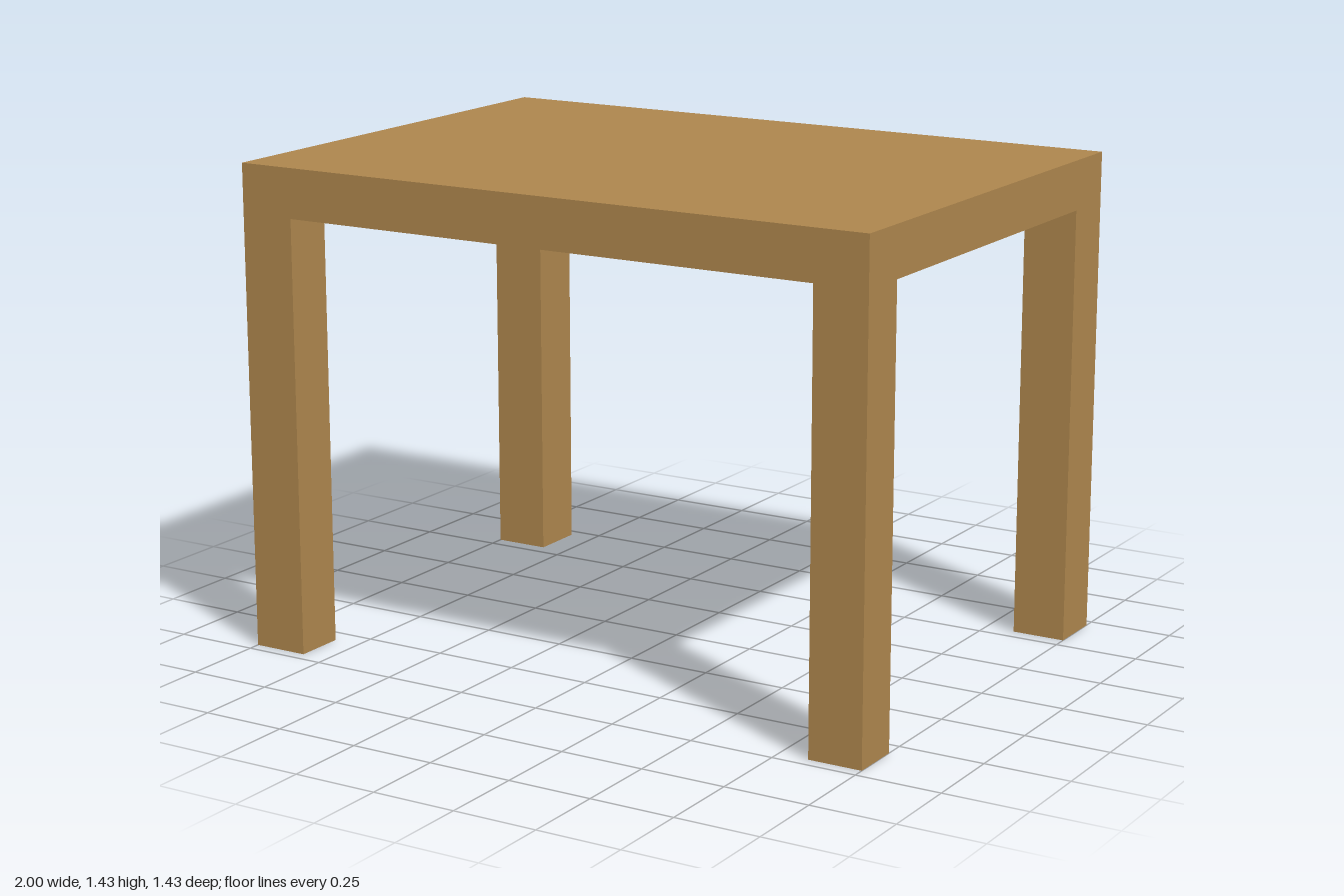
import * as THREE from 'three';

export function createModel() {
  const group = new THREE.Group();
  group.name = 'table';
  const wood = new THREE.MeshStandardMaterial({ color: 0xad854d });
  const halfX = 1, halfZ = 0.714, height = 1.43, underside = 1.285;

  // Box given by its lower and upper corners
  const addBox = (name, [x0, y0, z0], [x1, y1, z1]) => {
    const mesh = new THREE.Mesh(new THREE.BoxGeometry(x1 - x0, y1 - y0, z1 - z0), wood);
    mesh.position.set((x0 + x1) / 2, (y0 + y1) / 2, (z0 + z1) / 2);
    mesh.name = name;
    group.add(mesh);
  };

  // Thick slab top
  addBox('tableTop', [-halfX, underside, -halfZ], [halfX, height, halfZ]);

  // Legs flush with the corners, slightly thicker on the right and at the back
  const spansX = { Left: [0.84, halfX], Right: [-halfX, -0.833] };
  const spansZ = { front: [0.56, halfZ], back: [-halfZ, -0.546] };
  for (const [side, [x0, x1]] of Object.entries(spansX)) {
    for (const [end, [z0, z1]] of Object.entries(spansZ)) {
      addBox(`${end}${side}Leg`, [x0, 0, z0], [x1, underside, z1]);
    }
  }
  return group;
}
